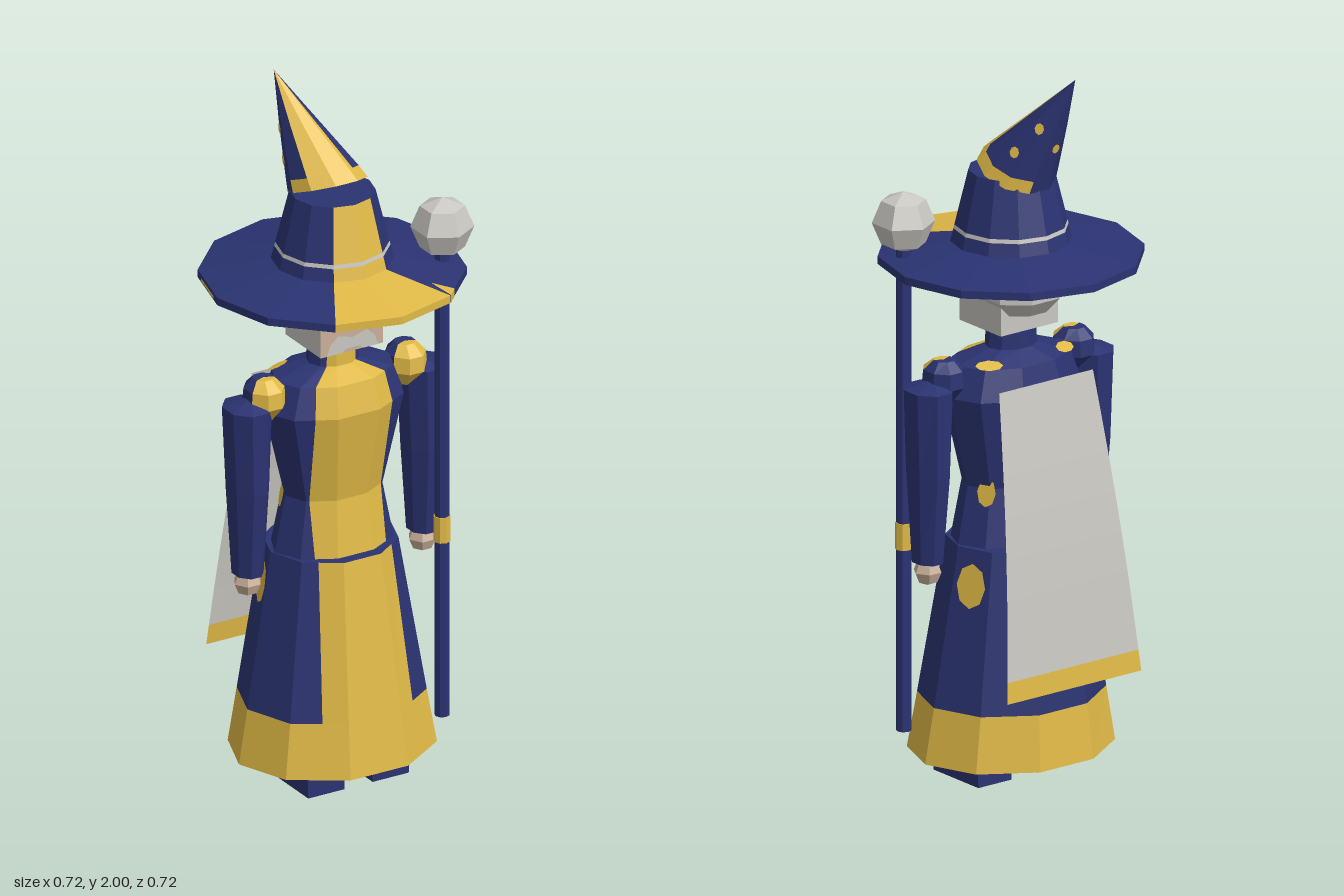
import * as THREE from 'three';

const mat = (name, color) => {
  const m = new THREE.MeshStandardMaterial({ color });
  m.name = name;
  return m;
};

export function createModel() {
  const root = new THREE.Group();
  root.name = 'robedFigure';
  const navy = mat('navyCloth', 0x2b3372);
  const gold = mat('goldTrim', 0xe0b946);
  const silver = mat('silverGrey', 0xc9c7c1);
  const skin = mat('skin', 0xcab09a);
  const palette = [navy, gold, silver];
  const NAVY = 0, GOLD = 1, SILVER = 2;

  const add = (name, geometry, material, x = 0, y = 0, z = 0) => {
    const m = new THREE.Mesh(geometry, material);
    m.name = name;
    m.position.set(x, y, z);
    root.add(m);
    return m;
  };
  const facet = (g) => {
    const f = g.index ? g.toNonIndexed() : g;
    f.computeVertexNormals();
    return f;
  };

  // Faceted loft through rings listed from bottom to top.
  // start: angle of the first corner from +z; a ring's split cuts the facets beside the front one.
  function loft(name, rings, sides, start, paint) {
    const loops = rings.map(({ y, rx, rz = rx, cx = 0, cz = 0, tilt = 0, split }) => {
      const pts = [];
      for (let i = 0; i < sides; i++) {
        const a = start + (i / sides) * Math.PI * 2;
        const z = rz * Math.cos(a);
        pts.push(new THREE.Vector3(cx + rx * Math.sin(a), y + tilt * z, cz + z));
      }
      if (split !== undefined) {
        const n = sides - 2;
        const leftCut = pts[0].clone().lerp(pts[1], split);
        const rightCut = pts[n + 1].clone().lerp(pts[n], split);
        pts.splice(n + 1, 0, rightCut);
        pts.splice(1, 0, leftCut);
      }
      return pts;
    });
    const bins = [[], [], []];
    const tri = (bin, a, b, c) => {
      const area = b.clone().sub(a).cross(c.clone().sub(a)).length();
      if (area > 1e-8) for (const p of [a, b, c]) bin.push(p.x, p.y, p.z);
    };
    for (let k = 0; k < loops.length - 1; k++) {
      const lo = loops[k], hi = loops[k + 1], n = lo.length;
      for (let j = 0; j < n; j++) {
        const bin = bins[paint(k, j, n)], q = (j + 1) % n;
        tri(bin, lo[j], lo[q], hi[q]);
        tri(bin, lo[j], hi[q], hi[j]);
      }
    }
    const g = new THREE.BufferGeometry();
    g.setAttribute('position', new THREE.Float32BufferAttribute(bins.flat(), 3));
    let at = 0;
    bins.forEach((bin, i) => {
      if (bin.length) g.addGroup(at, bin.length / 3, i);
      at += bin.length / 3;
    });
    g.computeVertexNormals();
    return add(name, g, palette);
  }

  // Thin gold patch laid on the surface struck from a point along a direction
  function patch(name, target, from, dir, w, h) {
    target.updateMatrixWorld();
    const ray = new THREE.Raycaster(new THREE.Vector3(...from), new THREE.Vector3(...dir).normalize());
    const hit = ray.intersectObject(target)[0];
    if (!hit) return;
    const p = hit.point.clone().addScaledVector(hit.face.normal, 0.004);
    const m = add(name, new THREE.CircleGeometry(1, 8), gold, p.x, p.y, p.z);
    m.scale.set(w, h, 1);
    m.lookAt(p.clone().add(hit.face.normal));
  }

  const T18 = Math.PI / 10;
  const frontStrip = (j, n) => (j === 0 || j >= n - 2 ? GOLD : NAVY);

  // Skirt with gold hem and front panel
  const skirt = loft('skirt', [
    { y: 0.08, rx: 0, split: 0.41 },
    { y: 0.08, rx: 0.293, rz: 0.255, split: 0.41 },
    { y: 0.235, rx: 0.265, rz: 0.234, cz: -0.003, split: 0.45 },
    { y: 0.68, rx: 0.188, rz: 0.173, cz: -0.01, split: 0.6 },
    { y: 0.68, rx: 0, cz: -0.01, split: 0.6 },
  ], 10, T18, (k, j, n) => (k === 1 ? GOLD : k === 2 ? frontStrip(j, n) : NAVY));

  // Narrow gold rays under the skirt
  const rays = 18;
  for (let i = 0; i < rays; i++) {
    const ray = new THREE.CircleGeometry(1, 1, (i / rays) * Math.PI * 2, 0.16);
    ray.rotateX(Math.PI / 2);
    ray.scale(0.272, 1, 0.238);
    add('skirtRay', facet(ray), gold, 0, 0.077, 0);
  }

  // Torso, shoulders and neck
  const torso = loft('torso', [
    { y: 0.67, rx: 0.183, rz: 0.13, split: 0.6 },
    { y: 0.84, rx: 0.148, rz: 0.105, split: 0.9 },
    { y: 1.1, rx: 0.212, rz: 0.147, split: 0.52 },
    { y: 1.185, rx: 0.18, rz: 0.125, split: 0.58 },
    { y: 1.215, rx: 0.075, rz: 0.062, split: 0.6 },
    { y: 1.29, rx: 0.07, rz: 0.06, split: 0.6 },
  ], 10, T18, (k, j, n) => frontStrip(j, n));

  // Arms, hands, shoulder pads and boots
  for (const s of [1, -1]) {
    const side = s > 0 ? 'left' : 'right';
    loft(side + 'Sleeve', [
      { y: 0.65, rx: 0, cx: s * 0.274, cz: 0.013 },
      { y: 0.65, rx: 0.042, rz: 0.05, cx: s * 0.274, cz: 0.013 },
      { y: 0.9, rx: 0.055, rz: 0.074, cx: s * 0.274, cz: 0.012 },
      { y: 1.14, rx: 0.066, rz: 0.077, cx: s * 0.274, cz: 0.01 },
      { y: 1.165, rx: 0, cx: s * 0.255, cz: 0.01 },
    ], 8, Math.PI / 8, () => NAVY);
    add(side + 'Hand', facet(new THREE.SphereGeometry(0.04, 6, 4)), skin, s * 0.274, 0.622, 0.013);
    loft(side + 'ShoulderPad', [
      { y: 1.085, rx: 0, cx: s * 0.222, cz: 0.012 },
      { y: 1.095, rx: 0.028, cx: s * 0.222, cz: 0.012 },
      { y: 1.14, rx: 0.058, rz: 0.066, cx: s * 0.222, cz: 0.012 },
      { y: 1.185, rx: 0.054, rz: 0.062, cx: s * 0.222, cz: 0.012 },
      { y: 1.212, rx: 0.03, cx: s * 0.222, cz: 0.008 },
      { y: 1.212, rx: 0, cx: s * 0.222, cz: 0.008 },
    ], 8, Math.PI / 8, (k, j) => (j === 0 || j >= 6 ? GOLD : NAVY));
    loft(side + 'Boot', [
      { y: 0, rx: 0, cx: s * 0.101, cz: 0.038 },
      { y: 0, rx: 0.08, rz: 0.137, cx: s * 0.101, cz: 0.038 },
      { y: 0.12, rx: 0.086, rz: 0.137, cx: s * 0.102, cz: 0.038 },
    ], 4, Math.PI / 4, () => NAVY);
    // Patches on the robe
    const shift = s > 0 ? 0 : 0.02;
    patch('skirtPatch', skirt, [s, 0.58, -0.065 + shift], [-s, 0, 0], 0.045, 0.062);
    patch('waistPatch', torso, [s, 0.83, -0.055 + shift], [-s, 0, 0], 0.028, 0.04);
    patch('shoulderPatch', torso, [s * 0.128, 2, -0.068], [0, -1, 0], 0.038, 0.022);
  }

  // Head, moustache and hair
  add('head', new THREE.BoxGeometry(0.195, 0.2, 0.18),
    [silver, silver, silver, gold, skin, silver], 0, 1.373, 0.01);
  const m = [[-0.08, 1.275], [-0.035, 1.275], [-0.02, 1.285], [0.02, 1.285], [0.035, 1.275], [0.08, 1.275],
    [0.07, 1.305], [0.045, 1.328], [0, 1.315], [-0.045, 1.328], [-0.07, 1.305]];
  add('moustache', new THREE.ShapeGeometry(new THREE.Shape(m.map(([x, y]) => new THREE.Vector2(x, y)))),
    silver, 0, 0, 0.104);
  const hair = new THREE.SphereGeometry(1, 8, 5);
  hair.rotateY(Math.PI / 8);
  hair.scale(0.128, 0.09, 0.108);
  add('hair', facet(hair), silver, 0, 1.398, -0.057);

  // Hat brim and crown with a thin silver band
  loft('hatBrimAndCrown', [
    { y: 1.46, rx: 0 }, { y: 1.46, rx: 0.25 }, { y: 1.455, rx: 0.361 }, { y: 1.477, rx: 0.361 },
    { y: 1.51, rx: 0.165 }, { y: 1.546, rx: 0.156 }, { y: 1.557, rx: 0.1535 },
    { y: 1.71, rx: 0.116 }, { y: 1.71, rx: 0 },
  ], 12, 0, (k, j, n) => {
    if (k === 0) return GOLD;
    if (k === 1 || k === 7) return NAVY;
    if (k === 5) return SILVER;
    return j === 0 || j === n - 1 ? GOLD : NAVY;
  });

  // Gold slivers on the brim: beside the front wedge and on the rear rim
  const plate = (name, corners, index) => {
    const g = new THREE.BufferGeometry();
    g.setAttribute('position', new THREE.Float32BufferAttribute(corners.flat(), 3));
    g.setIndex(index);
    add(name, facet(g), gold);
  };
  plate('brimSliver', [[0.181, 1.479, 0.314], [0.211, 1.479, 0.284], [0.163, 1.49, 0.24],
    [0.181, 1.456, 0.314], [0.211, 1.456, 0.284]], [0, 1, 2, 0, 3, 4, 0, 4, 1]);
  plate('rimStreak', [[-0.325, 1.461, -0.143], [-0.356, 1.461, -0.027],
    [-0.356, 1.47, -0.027], [-0.325, 1.47, -0.143]], [0, 1, 2, 0, 2, 3]);

  // Hat point, bent back and to the side, with a gold band around its foot
  const point = loft('hatPoint', [
    { y: 1.716, rx: 0, cz: -0.024, split: 0.35 },
    { y: 1.716, rx: 0.109, rz: 0.104, cz: -0.024, tilt: 0.41, split: 0.35 },
    { y: 1.746, rx: 0.1, rz: 0.093, cx: -0.006, cz: -0.042, tilt: 0.41, split: 0.35 },
    { y: 1.87, rx: 0.052, rz: 0.048, cx: -0.034, cz: -0.12, tilt: 0.41, split: 0.35 },
    { y: 2.0, rx: 0, cx: -0.062, cz: -0.2, split: 0.35 },
  ], 10, T18, (k, j, n) => {
    if (k === 0) return NAVY;
    if (k === 1) return j <= 4 || j >= 8 ? GOLD : NAVY;
    return j === 0 || j >= n - 3 ? GOLD : NAVY;
  });
  const dots = [[1, 1.79, -0.09], [1, 1.86, -0.14], [-1, 1.78, -0.1], [-1, 1.86, -0.13]];
  for (const [s, y, z] of dots) patch('hatDot', point, [s, y, z], [-s, 0, 0], 0.014, 0.016);
  patch('hatDot', point, [-0.03, 1.8, -1], [0, 0, 1], 0.012, 0.014);

  // Cape: a sheet that widens and hangs away from the back, with a gold hem
  const capeSheet = (name, v0, v1, rows, color) => {
    const g = new THREE.PlaneGeometry(1, 1, 1, rows);
    const p = g.attributes.position;
    for (let i = 0; i < p.count; i++) {
      const v = v0 + (v1 - v0) * (0.5 - p.getY(i));
      p.setXYZ(i, -2 * p.getX(i) * (0.16 + 0.068 * v), 1.145 - 0.835 * v,
        -0.152 - 0.123 * v - 0.012 * Math.sin(Math.PI * v));
    }
    const cloth = color.clone();
    cloth.name = color.name + 'Sheet';
    cloth.side = THREE.DoubleSide;
    add(name, facet(g), cloth);
  };
  capeSheet('cape', 0, 0.93, 7, silver);
  capeSheet('capeHem', 0.93, 1, 1, gold);

  // Staff with gold grip and orb
  const rod = (name, r, y0, y1, color) =>
    add(name, facet(new THREE.CylinderGeometry(r, r, y1 - y0, 8)), color, 0.27, (y0 + y1) / 2, 0.122);
  rod('staff', 0.021, 0.14, 1.53, navy);
  rod('staffGrip', 0.0235, 0.655, 0.73, gold);
  const orb = new THREE.SphereGeometry(0.086, 6, 4);
  orb.rotateY(Math.PI / 6);
  add('staffOrb', facet(orb), silver, 0.272, 1.583, 0.12);

  return root;
}
